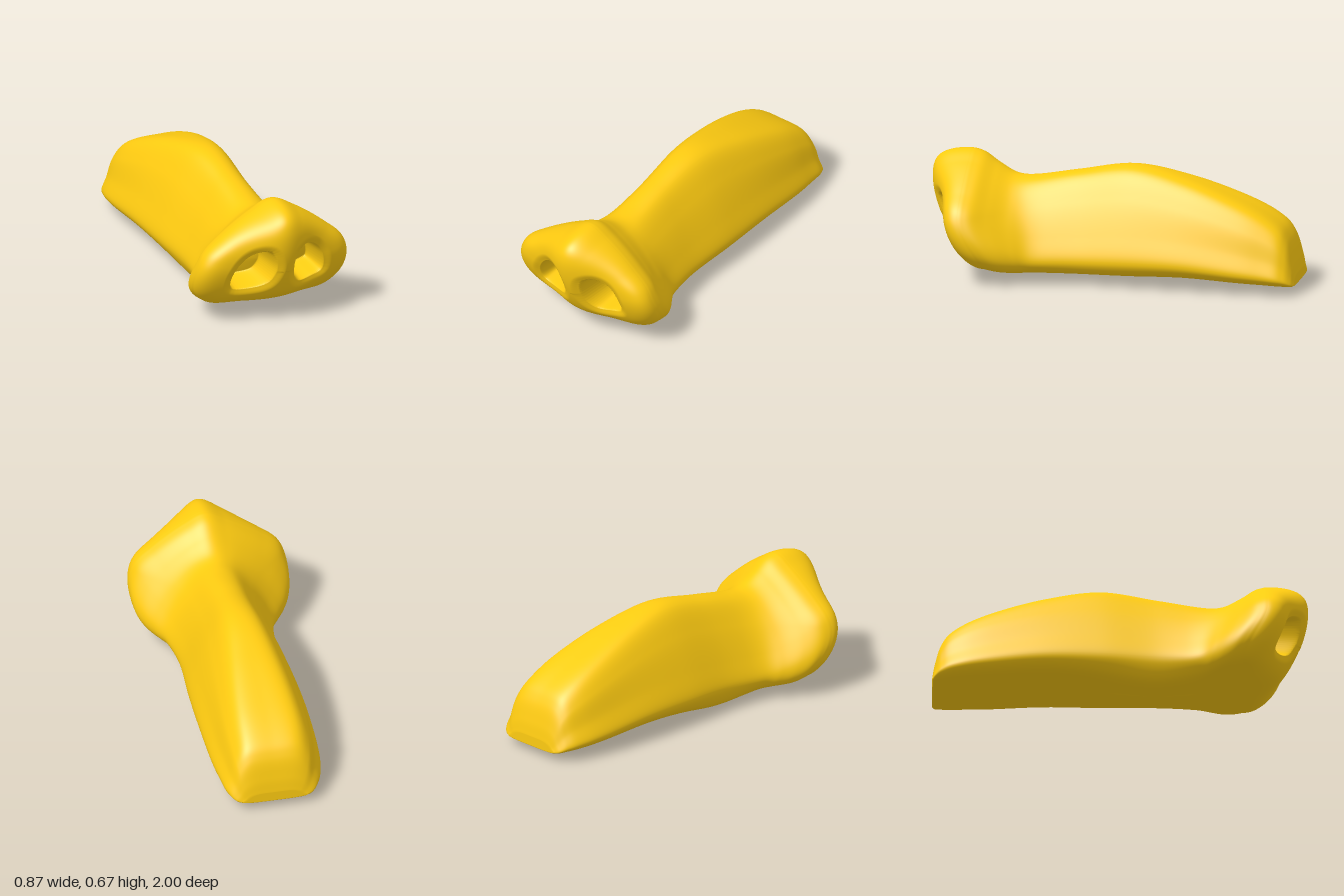
import * as THREE from 'three';

const SEGMENTS = 192;
const { lerp, smoothstep } = THREE.MathUtils;

// Half cross-sections from ridge to underside, as fractions of half width and height
const REAR = [[0, 1], [0.54, 0.96], [0.77, 0.74], [0.89, 0.43], [1, 0.19], [0.97, 0.12], [0.82, 0.045], [0.4, 0], [0, 0]];
const BRIDGE = [[0, 1], [0.25, 0.96], [0.57, 0.73], [0.85, 0.42], [1, 0.19], [0.97, 0.12], [0.82, 0.045], [0.4, 0], [0, 0]];
const TIP = [[0, 1], [0.27, 0.91], [0.68, 0.71], [0.92, 0.55], [1, 0.34], [0.95, 0.15], [0.78, 0.025], [0.4, 0], [0, 0]];

// Stations along the nose: z, half width, top, bottom
const STATIONS = [
  [-1, 0.175, 0.1, 0.045], [-0.985, 0.21, 0.18, 0.04], [-0.95, 0.24, 0.29, 0.04], [-0.88, 0.265, 0.37, 0.042],
  [-0.7, 0.288, 0.465, 0.048], [-0.4, 0.295, 0.572, 0.06], [-0.1, 0.287, 0.63, 0.05], [0.2, 0.268, 0.585, 0.045],
  [0.42, 0.292, 0.545, 0.045], [0.54, 0.34, 0.546, 0.05], [0.64, 0.392, 0.6, 0.058], [0.71, 0.424, 0.65, 0.066],
  [0.76, 0.433, 0.669, 0.074], [0.79, 0.433, 0.673, 0.08],
];

// Nostril outlines on the face
const NOSTRILS = [
  [[0.07, 0.35], [0.09, 0.42], [0.14, 0.443], [0.2, 0.42], [0.25, 0.35], [0.26, 0.25], [0.2, 0.225], [0.13, 0.215], [0.085, 0.26]],
  [[-0.05, 0.38], [-0.085, 0.44], [-0.15, 0.43], [-0.22, 0.37], [-0.26, 0.28], [-0.25, 0.22], [-0.15, 0.217], [-0.075, 0.25], [-0.045, 0.32]],
].map((pts) => new THREE.CatmullRomCurve3(pts.map(([x, y]) => new THREE.Vector3(x, y, 0)), true).getPoints(48));

// Signed distance to a closed outline, negative inside
function outlineDistance(x, y, pts) {
  let best = Infinity, inside = false;
  for (let i = 0; i < pts.length - 1; i++) {
    const a = pts[i], b = pts[i + 1];
    const dx = b.x - a.x, dy = b.y - a.y;
    const k = THREE.MathUtils.clamp(((x - a.x) * dx + (y - a.y) * dy) / (dx * dx + dy * dy || 1), 0, 1);
    best = Math.min(best, Math.hypot(x - a.x - k * dx, y - a.y - k * dy));
    if ((a.y > y) !== (b.y > y) && x < a.x + (dx * (y - a.y)) / dy) inside = !inside;
  }
  return inside ? -best : best;
}

// One smooth closed ring at a station
function section(z, w, top, bottom) {
  const toBridge = smoothstep(z, -1, 0.1), toTip = smoothstep(z, 0.35, 0.79);
  const half = REAR.map((p, i) => p.map((v, k) => lerp(lerp(v, BRIDGE[i][k], toBridge), TIP[i][k], toTip)));
  const all = [...half, ...half.slice(1, -1).reverse().map(([x, y]) => [-x, y])];
  const shift = lerp(0.018, 0.008, smoothstep(z, -1, -0.8)) * (1 - toTip);
  const curve = new THREE.CatmullRomCurve3(
    all.map(([x, y]) => new THREE.Vector3(x * w + shift, lerp(bottom, top, y), z)), true);
  return Array.from({ length: SEGMENTS }, (_, j) => {
    const p = curve.getPoint(j / SEGMENTS);
    // lopsided swelling on the underside
    const low = Math.max(0, 1 - Math.max(0, p.y - bottom) / 0.1);
    p.y -= 0.045 * low * Math.exp(-(((p.x + 0.14) / 0.13) ** 4) - ((z - 0.18) / 0.25) ** 2);
    p.y = Math.max(0, p.y);
    // tip peaks slightly off centre and its chin lies further back
    p.x += 0.014 * toTip * smoothstep(p.y, 0.42, 0.66);
    p.z -= 0.14 * toTip * (1 - smoothstep(p.y, 0.05, 0.38));
    return p;
  });
}

// Front face: domed, swept back at the sides and below, with deep nostrils
function facePoint(rim, t) {
  const x = rim.x * t, y = lerp(0.32, rim.y, t);
  const side = lerp(0.07, 0.115, smoothstep(y, 0.15, 0.5)) * (1 - Math.exp(-((x / 0.18) ** 2)));
  const rise = 1 - 0.85 * Math.max(0, 0.55 - y) ** 2 - side - rim.z;
  const dome = 0.5 * (rise + 0.04 + Math.hypot(rise - 0.04, 0.05));
  let z = rim.z + dome * Math.sqrt(Math.max(0, 1 - t ** 8));
  for (const outline of NOSTRILS) {
    const d = outlineDistance(x, y, outline);
    z -= 0.022 * (1 - smoothstep(d, -0.01, 0.05)) + 0.18 * (1 - smoothstep(d, -0.022, 0.006));
  }
  return new THREE.Vector3(x, y, z);
}

// Skin a list of rings running from back to front
function skin(rings) {
  const index = [];
  for (let i = 0; i < rings.length - 1; i++) {
    for (let j = 0; j < SEGMENTS; j++) {
      const n = (j + 1) % SEGMENTS;
      const a = i * SEGMENTS + j, b = i * SEGMENTS + n;
      index.push(a, a + SEGMENTS, b, b, a + SEGMENTS, b + SEGMENTS);
    }
  }
  const geometry = new THREE.BufferGeometry().setFromPoints(rings.flat());
  geometry.setIndex(index);
  geometry.computeVertexNormals();
  return geometry;
}

export function createModel() {
  const group = new THREE.Group();
  group.name = 'nose';

  // bridge and flaring sides
  const widths = new THREE.CatmullRomCurve3(STATIONS.map(([z, w, t]) => new THREE.Vector3(w, t, z)), false, 'catmullrom');
  const bottoms = new THREE.CatmullRomCurve3(STATIONS.map(([z, , , b]) => new THREE.Vector3(0, b, z)), false, 'catmullrom');
  const rings = [];
  for (let i = 0; i <= 104; i++) {
    const p = widths.getPoint(i / 104), q = bottoms.getPoint(i / 104);
    rings.push(section(p.z, p.x, p.y, q.y));
  }

  // closed rear end
  const rear = rings[0], rearCentre = new THREE.Vector3(0.018, 0.07, -1);
  for (const t of [0.9, 0.5, 0.001]) rings.unshift(rear.map((p) => rearCentre.clone().lerp(p, t)));

  // face with nostrils, rings packed closer towards the rim
  const rim = rings[rings.length - 1], steps = 150;
  for (let i = 1; i <= steps; i++) {
    const u = i / steps;
    const t = Math.max(0.0005, 1 - (0.75 * u + 0.25 * u * u) * Math.min(1, 0.1 + u * 6));
    rings.push(rim.map((p) => facePoint(p, t)));
  }

  const mesh = new THREE.Mesh(skin(rings), new THREE.MeshStandardMaterial({ color: 0xffcc11 }));
  mesh.name = 'noseBody';
  group.add(mesh);
  return group;
}
